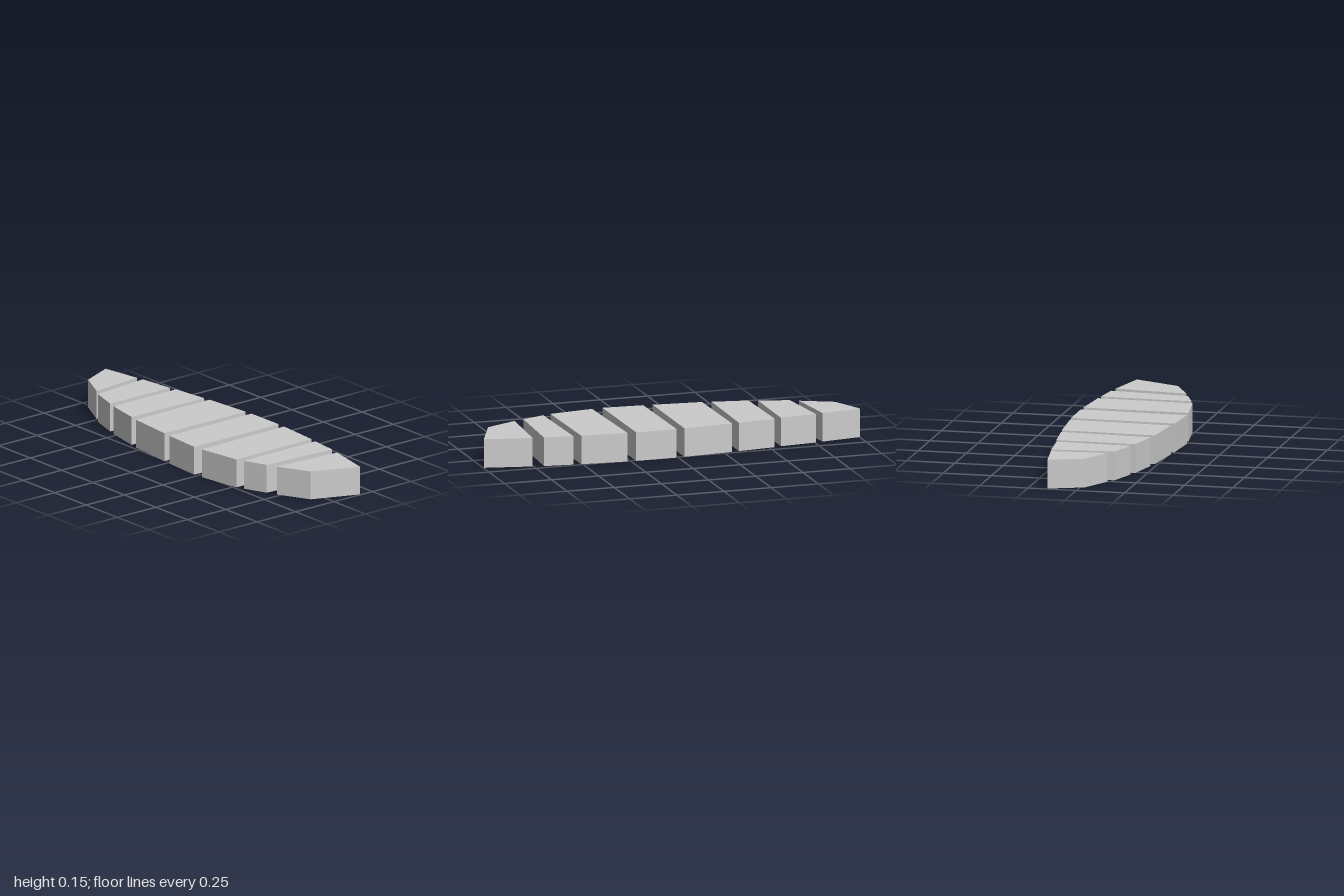
import * as THREE from 'three';

// Plan outline of each block as [x, z] corners, from the back tip to the front tip
const outlines = [
  [[0.15, -1.0], [-0.025, -0.925], [-0.105, -0.76], [0.182, -0.79]],
  [[0.19, -0.752], [-0.13, -0.72], [-0.176, -0.565], [0.209, -0.56]],
  [[0.218, -0.525], [-0.19, -0.52], [-0.225, -0.335], [0.241, -0.327]],
  [[0.246, -0.29], [-0.235, -0.288], [-0.258, -0.034], [0.267, -0.03]],
  [[0.271, 0.012], [-0.264, 0.014], [-0.277, 0.226], [0.272, 0.227]],
  [[0.27, 0.272], [-0.272, 0.282], [-0.238, 0.515], [0.252, 0.511]],
  [[0.247, 0.552], [-0.222, 0.557], [-0.175, 0.678], [0.23, 0.702]],
  [[0.219, 0.758], [-0.153, 0.732], [-0.07, 0.9], [0.168, 1.0]],
];
const HEIGHT = 0.148;
const TILT = 0.0055; // the slab rises very slightly toward +x

export function createModel() {
  const group = new THREE.Group();
  group.name = 'slicedSlab';
  const material = new THREE.MeshStandardMaterial({ color: 0xcccccc, flatShading: true });

  outlines.forEach((outline, i) => {
    const shape = new THREE.Shape(outline.map(([x, z]) => new THREE.Vector2(x, -z)));
    const geometry = new THREE.ExtrudeGeometry(shape, { depth: HEIGHT, bevelEnabled: false });
    geometry.rotateX(-Math.PI / 2);

    // Tilt top and bottom together
    const p = geometry.attributes.position;
    for (let v = 0; v < p.count; v++) p.setY(v, p.getY(v) + TILT * (p.getX(v) + 0.277));
    geometry.computeVertexNormals();

    const block = new THREE.Mesh(geometry, material);
    block.name = i === 0 ? 'backTip' : i === outlines.length - 1 ? 'frontTip' : `slice${i}`;
    group.add(block);
  });
  return group;
}
